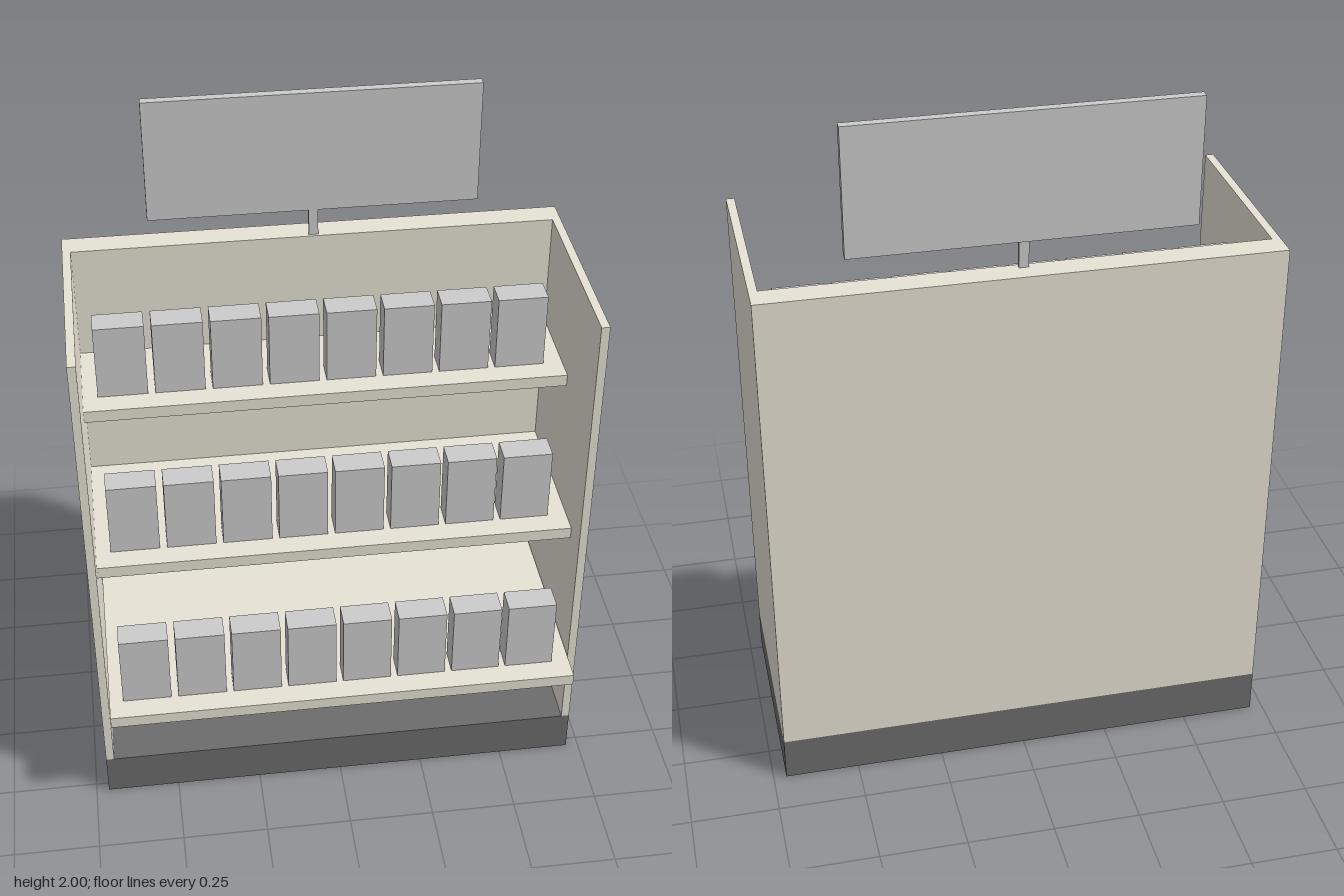
import * as THREE from 'three';

export function createModel() {
  const model = new THREE.Group();
  const grey = new THREE.MeshStandardMaterial({ color: 0xcccccc });
  const cream = new THREE.MeshStandardMaterial({ color: 0xe7e2d5 });
  const dark = new THREE.MeshStandardMaterial({ color: 0x6c6c6c });

  // Box given by its extents along each axis
  function box(name, material, [x0, x1], [y0, y1], [z0, z1], parent = model) {
    const mesh = new THREE.Mesh(new THREE.BoxGeometry(x1 - x0, y1 - y0, z1 - z0), material);
    mesh.position.set((x0 + x1) / 2, (y0 + y1) / 2, (z0 + z1) / 2);
    mesh.name = name;
    parent.add(mesh);
    return mesh;
  }

  const half = 0.713, inner = 0.689;
  const back = -0.37, front = 0.278, panelFront = -0.295;
  const baseTop = 0.13, top = 1.56;

  // Cabinet shell
  box('base', dark, [-half, half], [0, baseTop], [back, front]);
  box('backPanel', cream, [-inner, inner], [baseTop, top], [back, panelFront]);
  box('leftSidePanel', cream, [inner, half], [baseTop, top], [back, front]);
  box('rightSidePanel', cream, [-half, -inner], [baseTop, top], [back, front]);

  // Stepped shelves, deeper towards the bottom, each with a row of packages
  const count = 8, pitch = 0.1625, width = 0.142;
  for (let level = 0; level < 3; level++) {
    const shelfTop = 0.39 + level * 0.415;
    const shelfFront = 0.37 - level * 0.184;
    const tier = new THREE.Group();
    tier.name = `shelfTier${level + 1}`;
    model.add(tier);
    const reach = level === 0 ? 0.686 : inner;
    box('shelf', cream, [-reach, reach], [shelfTop - 0.036, shelfTop], [panelFront, shelfFront], tier);
    for (let i = 0; i < count; i++) {
      const x = -0.646 + i * pitch;
      box('package', grey, [x, x + width], [shelfTop, shelfTop + 0.225],
        [shelfFront - 0.145, shelfFront - 0.068], tier);
    }
  }

  // Header board on a short post
  box('signPost', grey, [-0.016, 0.011], [top, 1.64], [-0.315, -0.303]);
  box('signBoard', grey, [-0.47, 0.467], [1.64, 2], [-0.328, -0.302]);

  return model;
}
